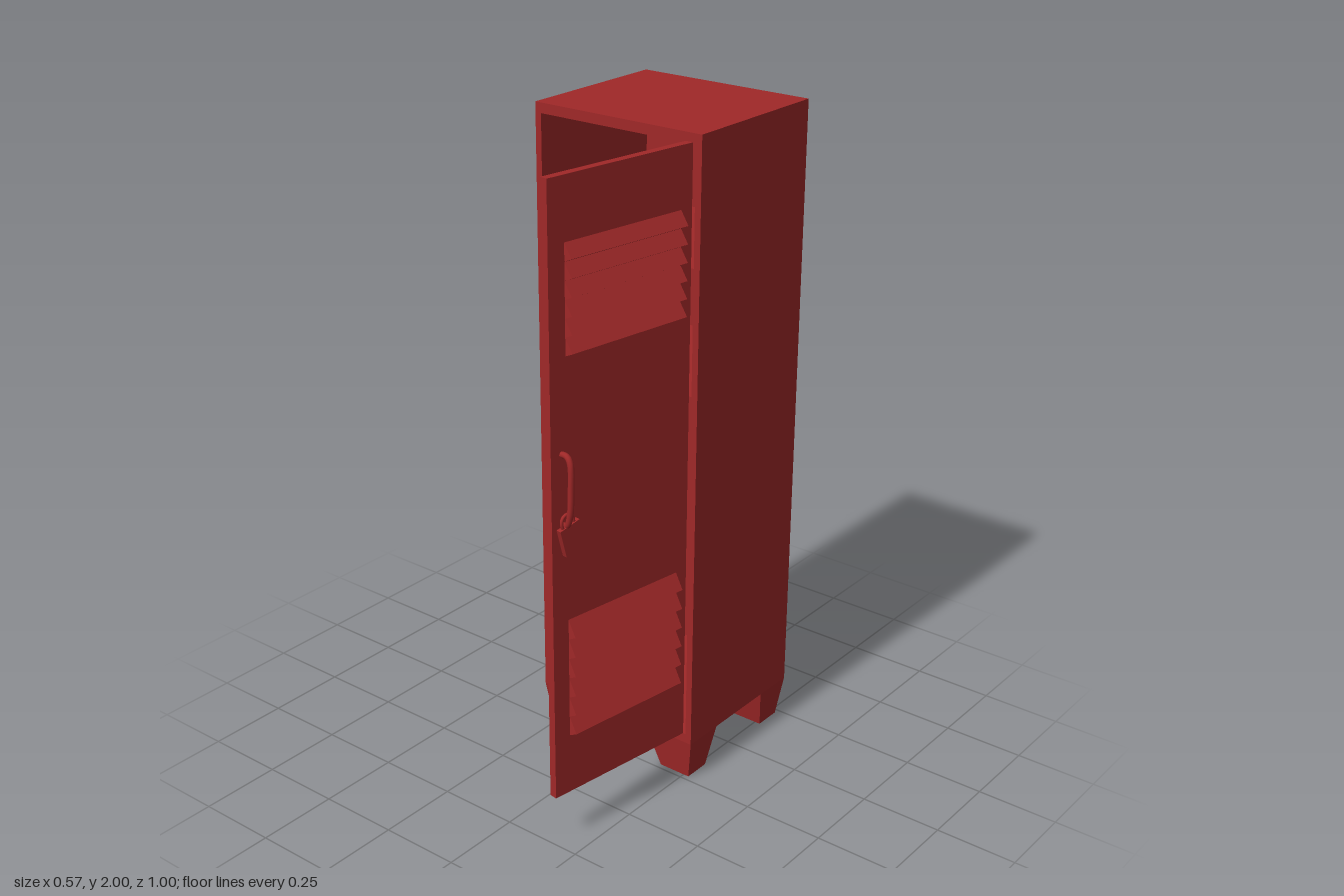
import * as THREE from 'three';

const red = new THREE.MeshStandardMaterial({ color: 0xa02828 });

function add(parent, name, geometry, x = 0, y = 0, z = 0) {
  const mesh = new THREE.Mesh(geometry, red);
  mesh.name = name;
  mesh.position.set(x, y, z);
  parent.add(mesh);
  return mesh;
}

function rectangle(path, x0, y0, x1, y1) {
  path.moveTo(x0, y0);
  path.lineTo(x1, y0);
  path.lineTo(x1, y1);
  path.lineTo(x0, y1);
  path.closePath();
  return path;
}

const HALF = 0.287, BASE = 0.13, TOP = 2, DEPTH = 0.5;

// Open-fronted cabinet: a rectangular sleeve closed by a back panel, with two shelves
function buildCabinet() {
  const cabinet = new THREE.Group();
  cabinet.name = 'cabinet';
  const outline = rectangle(new THREE.Shape(), -HALF, BASE, HALF, TOP);
  outline.holes.push(rectangle(new THREE.Path(), -0.267, 0.16, 0.267, 1.97));
  add(cabinet, 'shell', new THREE.ExtrudeGeometry(outline, { depth: DEPTH, bevelEnabled: false }), 0, 0, -DEPTH);
  add(cabinet, 'backPanel', new THREE.BoxGeometry(0.534, 1.81, 0.02), 0, 1.065, -0.49);
  for (const y of [1.615, 1.24]) {
    add(cabinet, 'shelf', new THREE.BoxGeometry(0.534, 0.012, 0.46), 0, y, -0.25);
  }
  return cabinet;
}

// Foot block tapering downwards, steeper on its inner sides
function footGeometry(sideX, sideZ) {
  const g = new THREE.BoxGeometry(1, 1, 1);
  const p = g.attributes.position;
  for (let i = 0; i < p.count; i++) {
    const up = p.getY(i) > 0;
    const outerX = p.getX(i) * sideX > 0, outerZ = p.getZ(i) * sideZ > 0;
    const x = outerX ? (up ? HALF : 0.268) : (up ? 0.115 : 0.163);
    const z = outerZ ? (up ? 0.25 : 0.233) : (up ? 0.118 : 0.147);
    p.setXYZ(i, x * sideX, up ? BASE : 0, z * sideZ - 0.25);
  }
  const flat = g.toNonIndexed();
  flat.computeVertexNormals();
  return flat;
}

// Bank of wedge-shaped louvres, running from the hinge side towards the free edge
function buildLouvres(top, pitch) {
  const bank = new THREE.Group();
  bank.name = 'louvres';
  const profile = new THREE.Shape();
  profile.moveTo(0, 0);
  profile.lineTo(0, -pitch);
  profile.lineTo(0.028, -pitch * 0.74);
  profile.closePath();
  const slat = new THREE.ExtrudeGeometry(profile, { depth: 0.41, bevelEnabled: false });
  slat.rotateY(-Math.PI / 2);
  for (let i = 0; i < 6; i++) add(bank, 'louvre', slat, -0.04, top - i * pitch, 0);
  return bank;
}

function tube(points, radius) {
  const curve = new THREE.CatmullRomCurve3(points.map((p) => new THREE.Vector3(...p)), false, 'centripetal');
  return new THREE.TubeGeometry(curve, 32, radius, 10);
}

// Padlock with a bent shackle, hanging askew
function buildPadlock() {
  const lock = new THREE.Group();
  lock.name = 'padlock';
  add(lock, 'lockBody', new THREE.BoxGeometry(0.07, 0.085, 0.016));
  const shackle = [[-0.02, 0.035, 0], [-0.02, 0.056, 0], [-0.013, 0.07, 0], [0, 0.075, 0],
    [0.013, 0.07, 0], [0.02, 0.056, 0], [0.02, 0.035, 0]];
  add(lock, 'shackle', tube(shackle, 0.005));
  lock.position.set(-0.452, 0.98, 0.017);
  lock.rotation.z = 0.25;
  return lock;
}

// Door in its closed position about the hinge, then swung open
function buildDoor() {
  const door = new THREE.Group();
  door.name = 'door';
  add(door, 'doorPanel', new THREE.BoxGeometry(0.505, 1.815, 0.024), -0.2525, 1.0675, -0.012);
  door.add(buildLouvres(1.8, 0.051), buildLouvres(0.72, 0.062));
  const grip = [[0, 1.222, -0.005], [0, 1.222, 0.022], [0, 1.205, 0.034], [0, 1.13, 0.036],
    [0, 1.05, 0.03], [0, 1.02, 0.018], [0, 1.015, -0.005]];
  add(door, 'handle', tube(grip, 0.009), -0.467, 0, 0);
  door.add(buildPadlock());
  door.position.set(0.258, 0, 0);
  door.rotation.y = THREE.MathUtils.degToRad(81.2);
  return door;
}

export function createModel() {
  const model = new THREE.Group();
  model.name = 'locker';
  model.add(buildCabinet(), buildDoor());
  for (const sx of [-1, 1]) {
    for (const sz of [-1, 1]) add(model, 'foot', footGeometry(sx, sz));
  }
  return model;
}
